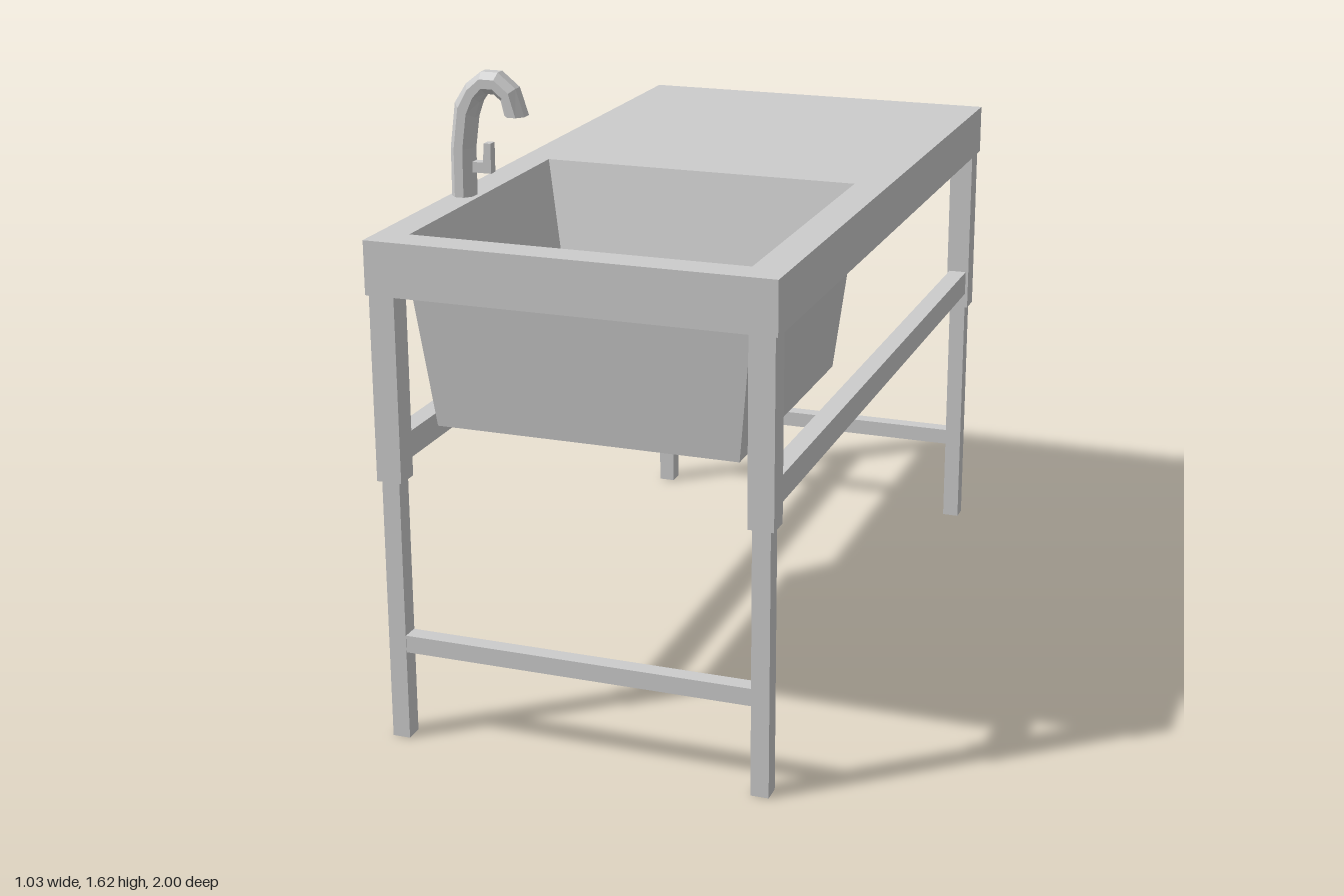
import * as THREE from 'three';

const material = new THREE.MeshStandardMaterial({ color: 0xcccccc, flatShading: true });

function add(parent, name, geometry) {
  const mesh = new THREE.Mesh(geometry, material);
  mesh.name = name;
  parent.add(mesh);
  return mesh;
}

// box given by its extents on each axis
function block(parent, name, [x0, x1], [y0, y1], [z0, z1]) {
  const mesh = add(parent, name, new THREE.BoxGeometry(x1 - x0, y1 - y0, z1 - z0));
  mesh.position.set((x0 + x1) / 2, (y0 + y1) / 2, (z0 + z1) / 2);
}

// closed, flat-shaded skin through convex rings of equal point count
function loft(rings) {
  const pos = [];
  const tri = (...pts) => pts.forEach((p) => pos.push(...p));
  const n = rings[0].length;
  for (let r = 0; r < rings.length - 1; r++) {
    const a = rings[r], b = rings[r + 1];
    for (let i = 0; i < n; i++) {
      const j = (i + 1) % n;
      tri(a[i], a[j], b[j]);
      tri(a[i], b[j], b[i]);
    }
  }
  const first = rings[0], last = rings[rings.length - 1];
  for (let i = 1; i < n - 1; i++) {
    tri(first[0], first[i + 1], first[i]);
    tri(last[0], last[i], last[i + 1]);
  }
  const geometry = new THREE.BufferGeometry();
  geometry.setAttribute('position', new THREE.Float32BufferAttribute(pos, 3));
  geometry.computeVertexNormals();
  return geometry;
}

const rect = (x0, x1, z0, z1, y) => [[x1, y, z1], [x1, y, z0], [x0, y, z0], [x0, y, z1]];

export function createModel() {
  const model = new THREE.Group();
  model.name = 'sinkTable';

  // countertop slab with the basin opening
  const outline = (pts) => pts.map(([x, , z]) => new THREE.Vector2(x, -z));
  const slab = new THREE.Shape(outline(rect(-0.515, 0.515, -1, 1, 0)));
  slab.holes.push(new THREE.Path(outline(rect(-0.435, 0.425, 0.07, 0.915, 0))));
  const top = new THREE.ExtrudeGeometry(slab, { depth: 0.135, bevelEnabled: false });
  top.rotateX(-Math.PI / 2);
  add(model, 'countertop', top).position.y = 1.16;

  // tapered basin: up the outside, over the rim, down the inside
  add(model, 'basin', loft([
    rect(-0.395, 0.385, 0.11, 0.88, 0.805),
    rect(-0.435, 0.425, 0.07, 0.918, 1.16),
    rect(-0.435, 0.425, 0.07, 0.915, 1.295),
    rect(-0.335, 0.33, 0.165, 0.82, 0.83),
  ]));

  // stepped legs, side rails and end crossbars
  const both = (side, a, b) => (side > 0 ? [a, b] : [-b, -a]);
  for (const sx of [-1, 1]) {
    for (const sz of [-1, 1]) {
      const leg = new THREE.Group();
      leg.name = (sz > 0 ? 'front' : 'back') + (sx > 0 ? 'Left' : 'Right') + 'Leg';
      block(leg, 'upperLeg', both(sx, 0.443, 0.508), [0.687, 1.16], both(sz, 0.93, 0.995));
      block(leg, 'lowerLeg', both(sx, 0.452, 0.498), [0, 0.69], both(sz, 0.94, 0.988));
      model.add(leg);
    }
    block(model, 'sideRail', both(sx, 0.45, 0.5), [0.73, 0.798], [-0.93, 0.93]);
  }
  for (const sz of [-1, 1]) {
    block(model, 'crossbar', [-0.455, 0.455], [0.235, 0.28], both(sz, 0.942, 0.986));
  }

  // gooseneck faucet: octagonal sections between outer and inner edge points
  const faucet = new THREE.Group();
  faucet.name = 'faucet';
  faucet.position.z = 0.51;
  const edges = [
    [-0.508, 1.29, -0.45, 1.29], [-0.507, 1.42, -0.449, 1.42],
    [-0.492, 1.535, -0.438, 1.5], [-0.46, 1.585, -0.424, 1.54],
    [-0.418, 1.618, -0.408, 1.562], [-0.372, 1.618, -0.384, 1.562],
    [-0.325, 1.58, -0.366, 1.547], [-0.302, 1.51, -0.357, 1.51],
  ];
  add(faucet, 'spout', loft(edges.map(([ox, oy, ix, iy]) =>
    Array.from({ length: 8 }, (_, k) => {
      const a = (k + 0.5) * Math.PI / 4, s = 1 / Math.cos(Math.PI / 8);
      const t = 0.5 + 0.5 * s * Math.cos(a);
      return [ox + (ix - ox) * t, oy + (iy - oy) * t, -0.034 * s * Math.sin(a)];
    }))));

  // L-shaped lever
  const lever = new THREE.Shape([
    [-0.46, 1.358], [-0.398, 1.358], [-0.398, 1.435],
    [-0.416, 1.435], [-0.42, 1.385], [-0.46, 1.385],
  ].map(([x, y]) => new THREE.Vector2(x, y)));
  add(faucet, 'lever', new THREE.ExtrudeGeometry(lever, { depth: 0.026, bevelEnabled: false }))
    .position.z = -0.013;
  model.add(faucet);

  return model;
}
